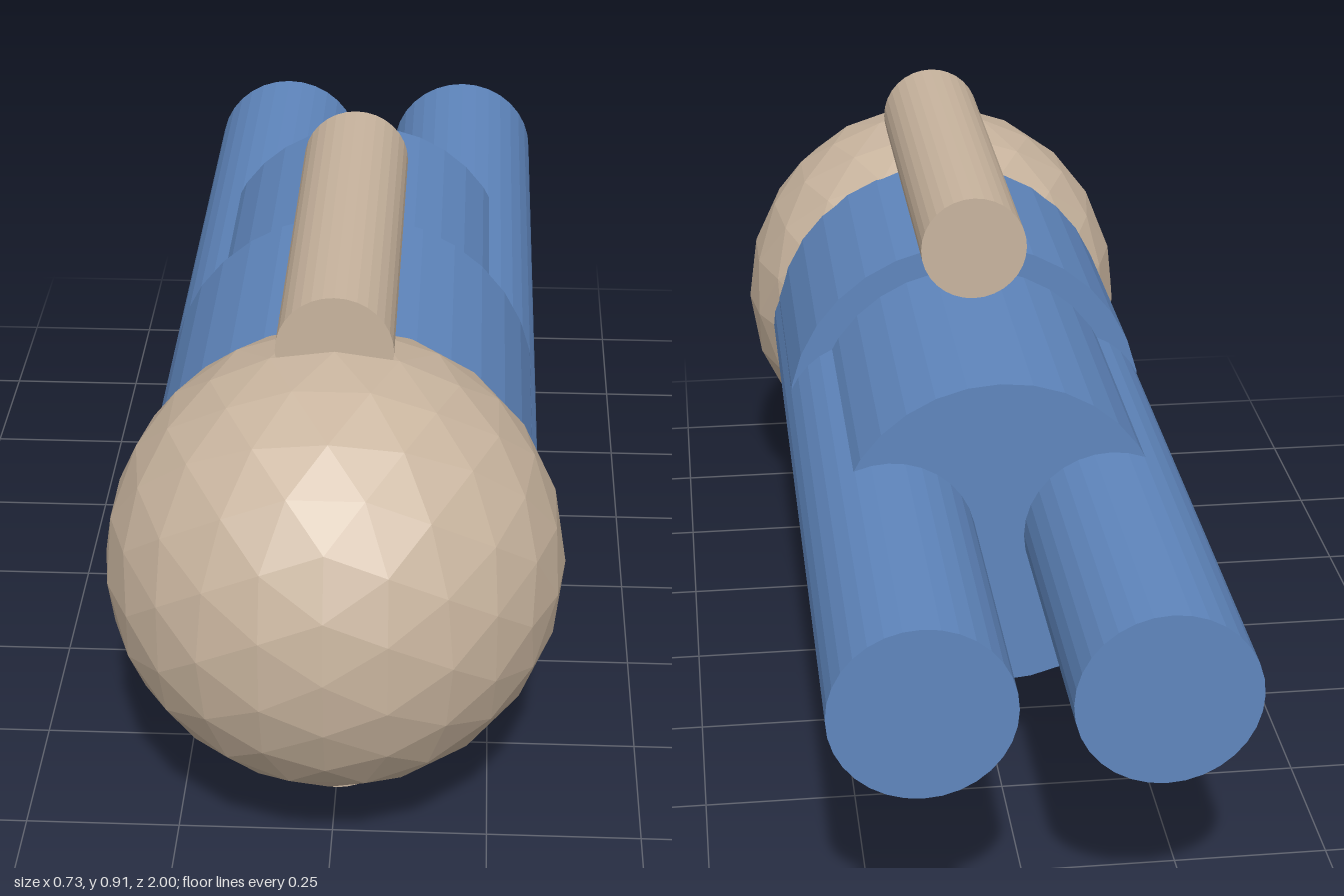
import * as THREE from 'three';

const MID = 0.455; // height of the body's long axis

// Split every triangle into four and push the new corners onto the sphere
function subdivideSphere(geometry, radius) {
  const p = geometry.attributes.position;
  const out = [];
  for (let i = 0; i < p.count; i += 3) {
    const [a, b, c] = [0, 1, 2].map(k => new THREE.Vector3().fromBufferAttribute(p, i + k));
    const mid = (u, v) => u.clone().add(v).setLength(radius);
    const ab = mid(a, b), bc = mid(b, c), ca = mid(c, a);
    for (const v of [a, ab, ca, ab, b, bc, ca, bc, c, ab, bc, ca]) out.push(v.x, v.y, v.z);
  }
  const g = new THREE.BufferGeometry();
  g.setAttribute('position', new THREE.Float32BufferAttribute(out, 3));
  g.computeVertexNormals();
  return g;
}

export function createModel() {
  const group = new THREE.Group();
  const skin = new THREE.MeshStandardMaterial({ color: 0xc8b49e, flatShading: true });
  skin.name = 'tan';
  const cloth = new THREE.MeshStandardMaterial({ color: 0x5f86bd, flatShading: true });
  cloth.name = 'blue';

  // Cylinder lying along z between two depths
  function rod(name, material, radius, x, y, zBack, zFront) {
    const geometry = new THREE.CylinderGeometry(radius, radius, zFront - zBack, 32);
    geometry.rotateX(Math.PI / 2);
    const mesh = new THREE.Mesh(geometry, material);
    mesh.position.set(x, y, (zBack + zFront) / 2);
    mesh.name = name;
    group.add(mesh);
  }

  // Faceted head
  const radius = 0.3636;
  const head = new THREE.Mesh(subdivideSphere(new THREE.IcosahedronGeometry(radius, 1), radius), skin);
  head.position.set(0, MID, 0.6364);
  head.name = 'head';
  group.add(head);

  // Torso and narrower hips
  rod('torso', cloth, 0.3182, 0, MID, 0.045, 0.6);
  rod('hips', cloth, 0.2727, 0, MID, -0.4545, 0.1);

  // Legs side by side
  for (const s of [1, -1]) rod(s > 0 ? 'leftLeg' : 'rightLeg', cloth, 0.142, s * 0.1818, MID, -1, 0.5);

  // Arms above and below the torso
  for (const s of [1, -1]) rod(s > 0 ? 'upperArm' : 'lowerArm', skin, 0.0909, 0, MID + s * 0.3636, -0.0909, 0.6364);

  return group;
}
